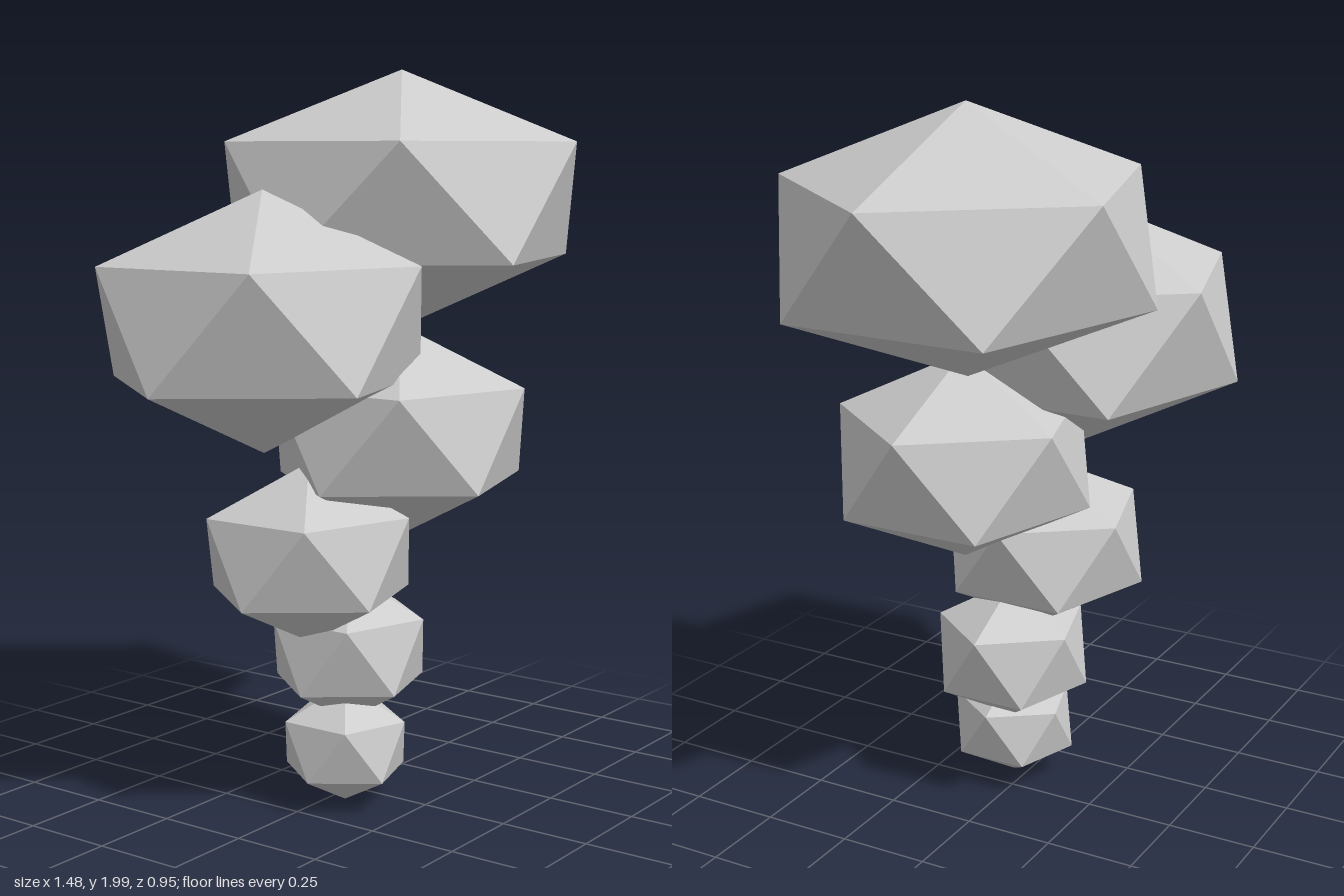
import * as THREE from 'three';

// Each puff: centre x, y, z, then radii x, y, z (bottom to top)
const PUFFS = [
  [-0.09, 0.17, 0.043, 0.19, 0.163, 0.191],
  [-0.032, 0.423, 0.015, 0.248, 0.207, 0.235],
  [-0.175, 0.71, -0.013, 0.324, 0.246, 0.309],
  [0.084, 1.02, 0.102, 0.409, 0.291, 0.385],
  [-0.29, 1.335, -0.075, 0.503, 0.345, 0.476],
  [0.22, 1.645, 0.01, 0.581, 0.355, 0.544],
];

export function createModel() {
  const group = new THREE.Group();
  group.name = 'smokeColumn';
  const material = new THREE.MeshStandardMaterial({ color: 0xcccccc, flatShading: true });

  // Icosahedron tipped to stand on a corner, upper ring corner toward +x
  const geometry = new THREE.IcosahedronGeometry(1, 0);
  geometry.rotateZ(-Math.atan(2 / (1 + Math.sqrt(5))));

  PUFFS.forEach(([x, y, z, rx, ry, rz], i) => {
    const puff = new THREE.Mesh(geometry, material);
    puff.name = `smokePuff${i + 1}`;
    puff.position.set(x, y, z);
    puff.scale.set(rx, ry, rz);
    group.add(puff);
  });
  return group;
}
